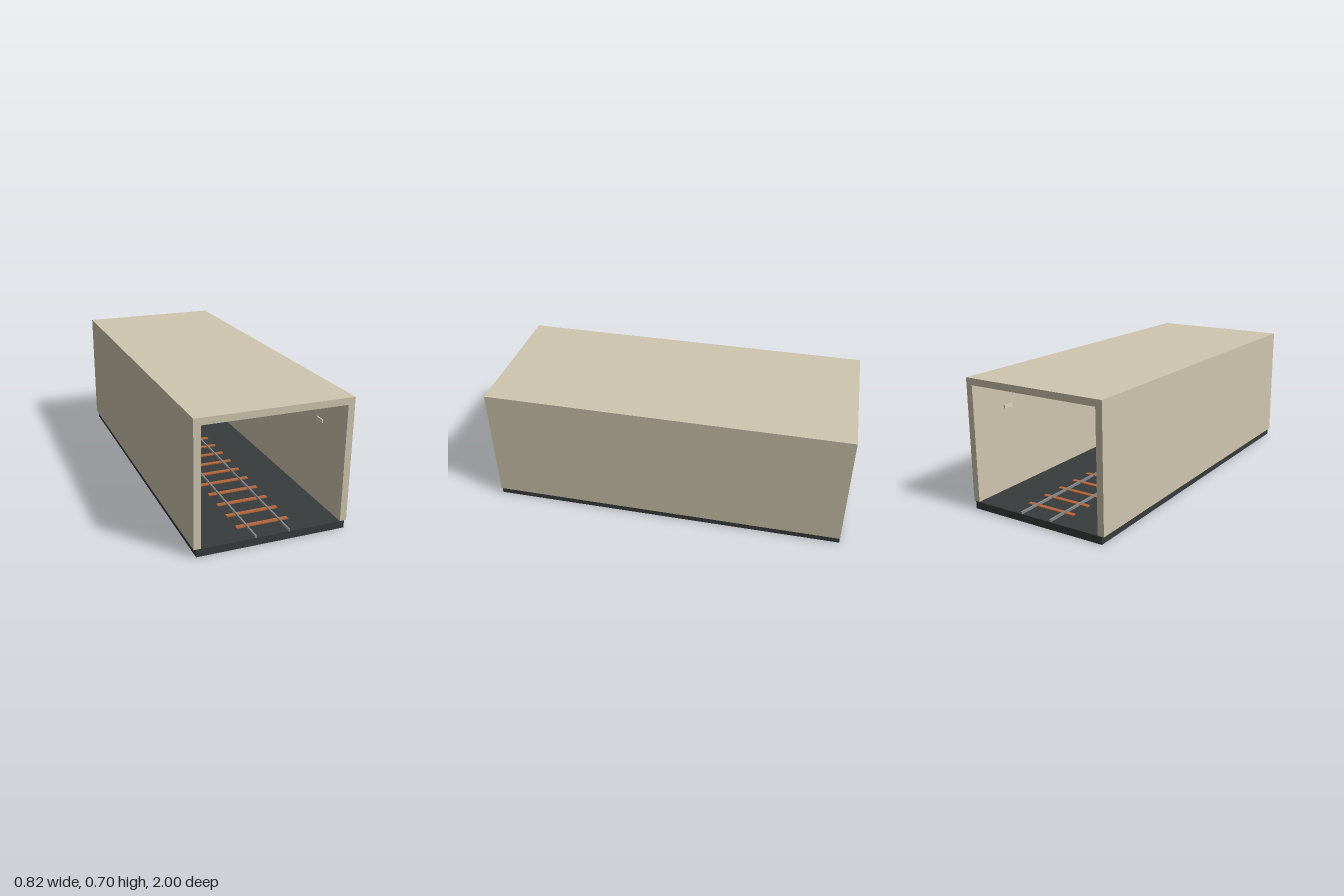
import * as THREE from 'three';

const mat = (color) => new THREE.MeshStandardMaterial({ color });

export function createModel() {
  const model = new THREE.Group();
  model.name = 'railTunnel';
  const concrete = mat(0xcfc6ae), ground = mat(0x383b3b);
  const wood = mat(0xb5673c), steel = mat(0x85898c), glass = mat(0xddd5ba);

  const box = (name, w, h, d, x, y, z, material) => {
    const mesh = new THREE.Mesh(new THREE.BoxGeometry(w, h, d), material);
    mesh.name = name;
    mesh.position.set(x, y, z);
    model.add(mesh);
  };

  // Track bed
  box('floor', 0.8, 0.04, 2, 0, 0.02, 0, ground);

  // Walls and roof as one U-shaped section, open at both ends
  const section = new THREE.Shape([
    [-0.412, 0.041], [-0.376, 0.041], [-0.376, 0.667], [0.376, 0.667],
    [0.376, 0.041], [0.412, 0.041], [0.412, 0.703], [-0.412, 0.703],
  ].map(([x, y]) => new THREE.Vector2(x, y)));
  const shellGeometry = new THREE.ExtrudeGeometry(section, { depth: 2, bevelEnabled: false });
  shellGeometry.translate(0, 0, -1);
  const shell = new THREE.Mesh(shellGeometry, concrete);
  shell.name = 'tunnelShell';
  model.add(shell);

  // Sleepers
  for (let i = 0; i < 15; i++) {
    box('sleeper', 0.286, 0.006, 0.025, 0, 0.043, -0.875 + i * 0.125, wood);
  }

  // Rails and wall lamps, mirrored left and right
  for (const side of [1, -1]) {
    box('rail', 0.009, 0.013, 2, side * 0.09, 0.0465, 0, steel);
    for (const z of [-0.75, -0.25, 0.25, 0.75]) {
      box('wallLamp', 0.006, 0.018, 0.06, side * 0.371, 0.504, z, glass);
    }
  }
  return model;
}
